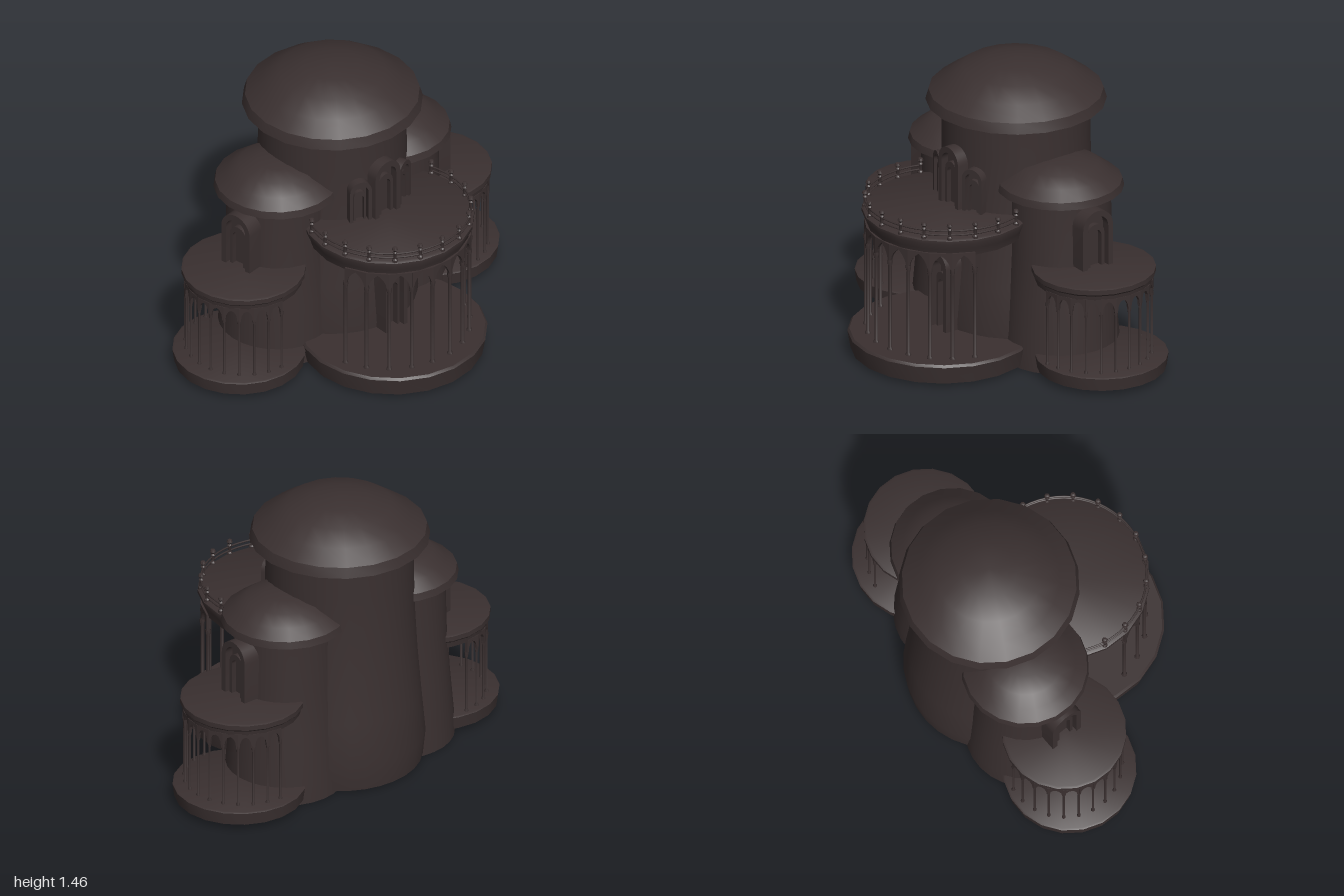
import * as THREE from 'three';
import { toCreasedNormals } from 'three/addons/utils/BufferGeometryUtils.js';

const stone = new THREE.MeshStandardMaterial({ color: 0x3a3030, side: THREE.DoubleSide });
stone.name = 'dark stone';

function add(parent, name, geometry, x = 0, y = 0, z = 0) {
  const mesh = new THREE.Mesh(geometry, stone);
  mesh.name = name;
  mesh.position.set(x, y, z);
  parent.add(mesh);
  return mesh;
}

// Turned shape from [radius, height] pairs, listed bottom to top
function turned(profile, sides = 20) {
  const points = profile.map(([r, y]) => new THREE.Vector2(r, y));
  return toCreasedNormals(new THREE.LatheGeometry(points, sides), 0.6);
}

// Round-headed outline points from bottom left to bottom right
function archPoints(w, h) {
  const r = w / 2;
  const points = [new THREE.Vector2(-r, 0)];
  for (let i = 0; i <= 12; i++) {
    const a = Math.PI * (1 - i / 12);
    points.push(new THREE.Vector2(r * Math.cos(a), h - r + r * Math.sin(a)));
  }
  points.push(new THREE.Vector2(r, 0));
  return points;
}

function extruded(points, depth) {
  const g = new THREE.ExtrudeGeometry(new THREE.Shape(points), { depth, bevelEnabled: false });
  return toCreasedNormals(g.translate(0, 0, -depth), 0.6);
}

// Stepped arched doorway or window; its face stands at distance r in direction a
function archway(parent, name, w, h, d, cx, y, cz, r, a) {
  const group = new THREE.Group();
  group.name = name;
  const band = (w1, h1, w2, h2) => [...archPoints(w1, h1), ...archPoints(w2, h2).reverse()];
  add(group, 'outerFrame', extruded(band(w, h, w * 0.68, h * 0.9), d));
  add(group, 'innerFrame', extruded(band(w * 0.56, h * 0.74, w * 0.36, h * 0.64), d * 0.7), 0, 0, -d * 0.2);
  add(group, 'panel', extruded(archPoints(w * 0.7, h * 0.91), d * 0.4), 0, 0, -d * 0.5);
  group.position.set(cx + r * Math.sin(a), y, cz + r * Math.cos(a));
  group.rotation.y = a;
  parent.add(group);
}

// One bay of wall with an arch cut from below
function archBay(w, h, pointed) {
  const s = new THREE.Shape();
  const i = w / 2 - 0.008, top = h - 0.012;
  s.moveTo(-w / 2, 0);
  s.lineTo(-i, 0);
  if (pointed) {
    s.quadraticCurveTo(-i * 0.9, top * 0.65, 0, top);
    s.quadraticCurveTo(i * 0.9, top * 0.65, i, 0);
  } else {
    s.bezierCurveTo(-i, top * 1.25, i, top * 1.25, i, 0);
  }
  s.lineTo(w / 2, 0);
  s.lineTo(w / 2, h);
  s.lineTo(-w / 2, h);
  const g = new THREE.ExtrudeGeometry(s, { depth: 0.016, bevelEnabled: false, curveSegments: 6 });
  return g.translate(0, 0, -0.008);
}

// Ring of columns joined by arch bays, from column index k0 to k1
function arcade(parent, o) {
  const column = turned([[o.thick * 1.6, o.y0], [o.thick * 1.6, o.y0 + 0.012], [o.thick, o.y0 + 0.02],
    [o.thick, o.spring - 0.02], [o.thick * 1.5, o.spring], [o.thick * 1.5, o.spring + 0.015]], 8);
  const bay = archBay(2 * o.r * Math.sin(o.step / 2) + 0.002, o.top - o.spring, o.pointed);
  const apothem = o.r * Math.cos(o.step / 2);
  for (let k = o.k0; k <= o.k1; k++) {
    const a = o.facing + k * o.step;
    add(parent, 'column', column, o.x + o.r * Math.sin(a), 0, o.z + o.r * Math.cos(a));
    if (k === o.k1) continue;
    const b = a + o.step / 2;
    const m = add(parent, 'archBay', bay, o.x + apothem * Math.sin(b), o.spring, o.z + apothem * Math.cos(b));
    m.rotation.y = b;
  }
}

export function createModel() {
  const model = new THREE.Group();
  model.name = 'domedPalace';
  const deg = Math.PI / 180;

  // Central tower and dome
  const TZ = -0.24;
  add(model, 'mainTower', turned([[0.41, 0.015], [0.424, 0.15], [0.403, 0.38], [0.385, 0.6],
    [0.371, 0.85], [0.367, 1.05], [0.367, 1.26]], 32), 0, 0, TZ);
  add(model, 'mainRoof', turned([[0.36, 1.245], [0.447, 1.235], [0.432, 1.288], [0.35, 1.35], [0.262, 1.411],
    [0.14, 1.445], [0, 1.462]]), 0, 0, TZ);

  // Side towers with their roofs, terraces and windows
  for (const s of [1, -1]) {
    const side = new THREE.Group();
    side.name = s > 0 ? 'leftWing' : 'rightWing';
    model.add(side);
    const x = s * 0.357;
    add(side, 'sideTower', turned([[0.297, 0], [0.293, 0.1], [0.272, 0.35], [0.256, 0.6], [0.25, 0.92]], 28), x, 0, TZ);
    add(side, 'sideRoof', turned([[0.245, 0.9], [0.316, 0.893], [0.308, 0.93], [0.25, 0.975], [0.19, 1.02],
      [0.1, 1.042], [0, 1.05]]), x, 0, TZ);

    const baseZ = s > 0 ? -0.26 : -0.165;
    const deckZ = s > 0 ? -0.24 : -0.175;
    add(side, 'terraceBase', turned([[0.322, 0.03], [0.331, 0.095], [0.322, 0.1], [0, 0.1]]), s * 0.668, 0, baseZ);
    add(side, 'terraceDeck', turned([[0, 0.49], [0.292, 0.49], [0.297, 0.52], [0.307, 0.53], [0.307, 0.555],
      [0.295, 0.56], [0, 0.56]]), s * 0.632, 0, deckZ);
    arcade(side, { x: s * 0.632, z: deckZ, r: 0.287, step: 15 * deg, facing: s * 90 * deg, k0: -6, k1: 6,
      thick: 0.006, y0: 0.095, spring: 0.42, top: 0.5, pointed: false });
    archway(side, 'sideWindow', 0.18, 0.305, 0.09, x, 0.565, TZ, 0.325, s > 0 ? 88 * deg : -80 * deg);
  }

  // Front terrace: base, balcony deck and arcade
  const FZ = 0.182;
  add(model, 'frontBase', turned([[0.452, 0.018], [0.468, 0.108], [0.458, 0.12], [0, 0.12]]), 0, 0, 0.216);
  add(model, 'balconyDeck', turned([[0, 0.67], [0.398, 0.67], [0.408, 0.71], [0.425, 0.745], [0.425, 0.762],
    [0.412, 0.77], [0, 0.77]]), 0, 0, FZ);
  arcade(model, { x: 0, z: FZ, r: 0.404, step: 16 * deg, facing: 8 * deg, k0: -5, k1: 4,
    thick: 0.009, y0: 0.115, spring: 0.59, top: 0.69, pointed: true });

  // Balustrade: posts with ball finials and two rails
  const railing = new THREE.Group();
  railing.name = 'balustrade';
  railing.position.z = FZ;
  model.add(railing);
  const post = turned([[0.014, 0.765], [0.014, 0.778], [0.008, 0.785], [0.008, 0.81], [0.013, 0.82],
    [0.007, 0.828], [0.015, 0.838], [0.011, 0.85], [0, 0.854]], 8);
  for (let k = -6; k <= 6; k++) {
    const a = k * 18 * deg;
    add(railing, 'post', post, 0.408 * Math.sin(a), 0, 0.408 * Math.cos(a));
  }
  for (const y of [0.79, 0.812]) {
    const rail = new THREE.TorusGeometry(0.408, 0.0045, 6, 36, 216 * deg);
    add(railing, 'rail', rail.rotateZ(-18 * deg).rotateX(Math.PI / 2), 0, y, 0);
  }

  // Doorways at ground level and on the balcony
  archway(model, 'frontDoor', 0.14, 0.41, 0.12, 0, 0.115, TZ, 0.487, 0);
  archway(model, 'balconyDoor', 0.16, 0.315, 0.08, 0, 0.765, TZ, 0.42, 0);
  for (const s of [1, -1]) {
    archway(model, 'balconySideDoor', 0.115, 0.235, 0.07, 0, 0.765, TZ, 0.41, s * 20.5 * deg);
  }
  return model;
}
